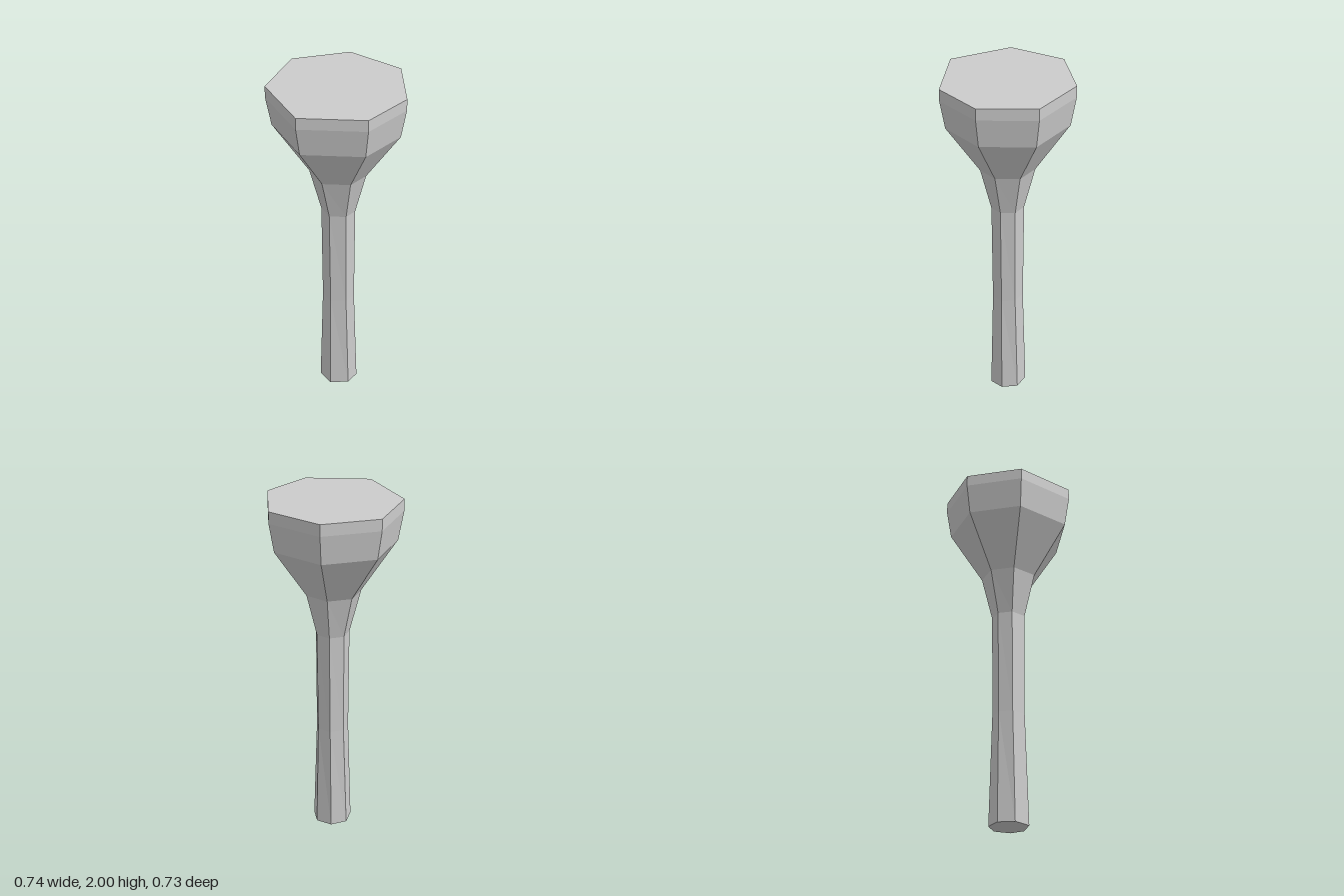
import * as THREE from 'three';

// Uneven seven-sided cross-section [x, z] at full head size
const OUTLINE = [
  [0.368, 0.048], [0.225, 0.295], [-0.13, 0.363], [-0.369, 0.1],
  [-0.316, -0.215], [-0.03, -0.365], [0.272, -0.255],
];

// Rings from foot to top: [height, scale, twist in degrees]
const HANDLE = [[0, 0.295, -7], [0.63, 0.245, -3], [1.23, 0.255, -1]];
const HEAD = [[1.23, 0.255, -1], [1.48, 0.42, 0], [1.77, 0.925, 0], [1.935, 1, 0], [2, 0.998, 0]];

function ringPoints([y, scale, twist]) {
  const a = THREE.MathUtils.degToRad(twist);
  const c = Math.cos(a) * scale, s = Math.sin(a) * scale;
  return OUTLINE.map(([x, z]) => [x * c - z * s, y, x * s + z * c]);
}

// Faceted skin through the rings, with optional flat end caps
function loft(rings, capBottom, capTop) {
  const loops = rings.map(ringPoints);
  const n = OUTLINE.length;
  const pos = [];
  const tri = (...pts) => pts.forEach((p) => pos.push(...p));
  for (let i = 0; i < loops.length - 1; i++) {
    for (let j = 0; j < n; j++) {
      const k = (j + 1) % n;
      const lo = loops[i], hi = loops[i + 1];
      tri(lo[j], hi[j], hi[k]);
      tri(lo[j], hi[k], lo[k]);
    }
  }
  const first = loops[0], last = loops[loops.length - 1];
  for (let j = 1; j < n - 1; j++) {
    if (capBottom) tri(first[0], first[j], first[j + 1]);
    if (capTop) tri(last[0], last[j + 1], last[j]);
  }
  const geo = new THREE.BufferGeometry();
  geo.setAttribute('position', new THREE.Float32BufferAttribute(pos, 3));
  geo.computeVertexNormals();
  return geo;
}

export function createModel() {
  const group = new THREE.Group();
  group.name = 'mallet';
  const material = new THREE.MeshStandardMaterial({ color: 0xcccccc, flatShading: true });

  // Slim handle, slightly flared at the foot
  const handle = new THREE.Mesh(loft(HANDLE, true, false), material);
  handle.name = 'handle';

  // Flaring head with a flat top
  const head = new THREE.Mesh(loft(HEAD, false, true), material);
  head.name = 'head';

  group.add(handle, head);
  return group;
}
